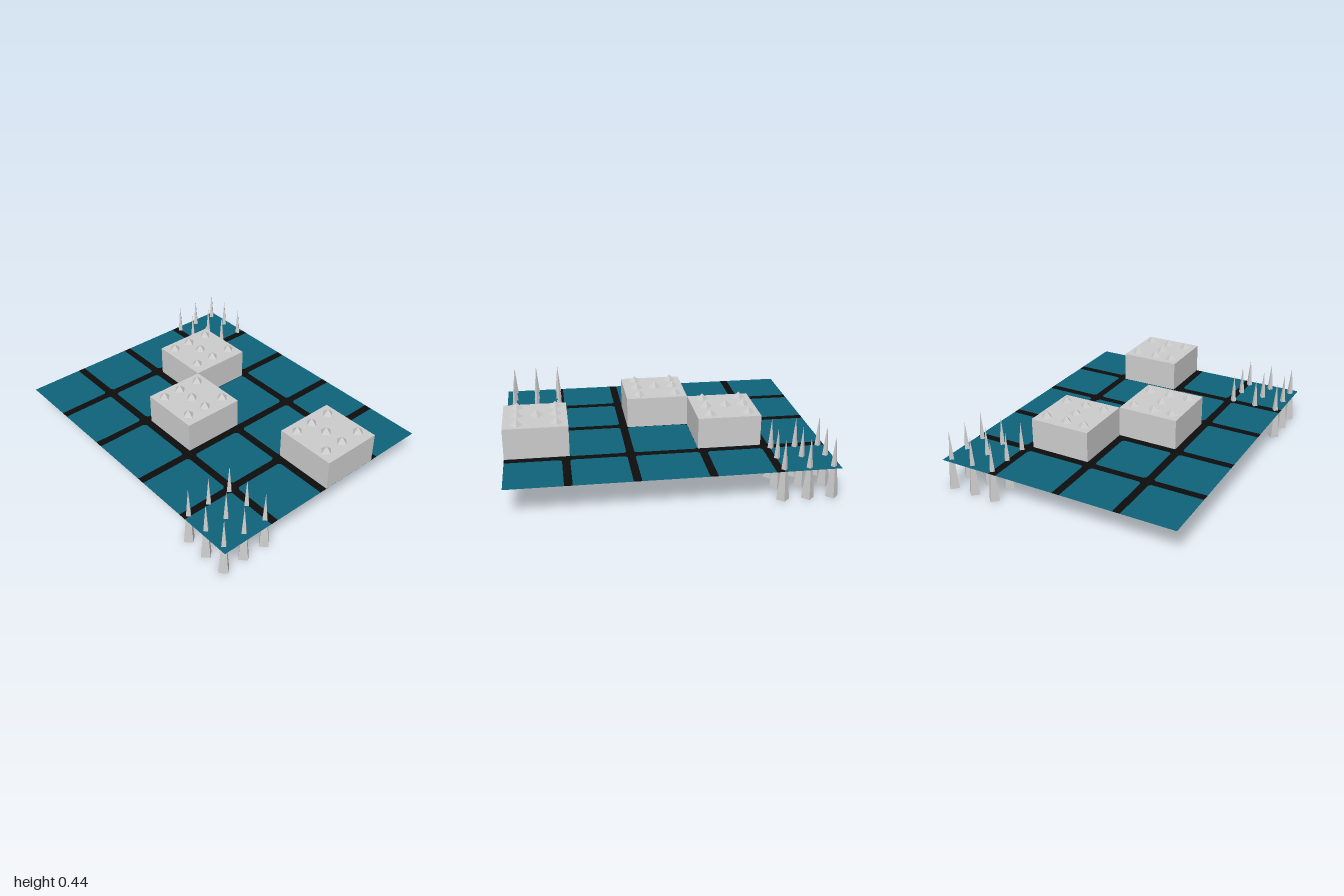
import * as THREE from 'three';

const FLOOR_Y = 0.2;
const CHAMFER = 0.015;

export function createModel() {
  const model = new THREE.Group();
  model.name = 'spikeTrapFloor';

  const teal = new THREE.MeshStandardMaterial({ color: 0x0e627a, side: THREE.DoubleSide });
  teal.name = 'teal tile';
  const black = new THREE.MeshStandardMaterial({ color: 0x0d0d0d, side: THREE.DoubleSide });
  black.name = 'black grout';
  const grey = new THREE.MeshStandardMaterial({ color: 0xcccccc, flatShading: true });
  grey.name = 'grey stone';

  const add = (parent, geometry, material, name, x = 0, y = 0, z = 0) => {
    const mesh = new THREE.Mesh(geometry, material);
    mesh.name = name;
    mesh.position.set(x, y, z);
    parent.add(mesh);
    return mesh;
  };
  const group = (name) => {
    const g = new THREE.Group();
    g.name = name;
    model.add(g);
    return g;
  };

  // Flat floor polygon from [x, z] points
  const floor = group('floor');
  const flat = (points, material, name) => {
    const shape = new THREE.Shape(points.map(([x, z]) => new THREE.Vector2(x, -z)));
    add(floor, new THREE.ShapeGeometry(shape).rotateX(-Math.PI / 2), material, name, 0, FLOOR_Y, 0);
  };
  const rect = (x0, x1, z0, z1, material, name) =>
    flat([[x0, z0], [x0, z1], [x1, z1], [x1, z0]], material, name);

  const cols = [[-0.8, -0.45], [-0.4, -0.05], [0, 0.4], [0.45, 0.8]];
  const rows = [[-1, -0.65], [-0.6, -0.25], [-0.2, 0.2], [0.25, 0.6], [0.65, 1]];

  // Tiles with small chamfers where the grout lines cross
  for (const [x0, x1] of cols) {
    for (const [z0, z1] of rows) {
      const outline = [];
      for (const [x, z, first] of [[x0, z0, 'x'], [x0, z1, 'z'], [x1, z1, 'x'], [x1, z0, 'z']]) {
        if (Math.abs(x) === 0.8 || Math.abs(z) === 1) {
          outline.push([x, z]);
          continue;
        }
        const alongX = [x + (x === x0 ? CHAMFER : -CHAMFER), z];
        const alongZ = [x, z + (z === z0 ? CHAMFER : -CHAMFER)];
        outline.push(...(first === 'x' ? [alongX, alongZ] : [alongZ, alongX]));
        flat([[x, z], alongX, alongZ], black, 'groutCorner');
      }
      flat(outline, teal, 'tile');
    }
  }

  // Grout: full-length lines along z, short pieces between them along x
  for (let i = 0; i < cols.length - 1; i++) {
    rect(cols[i][1], cols[i + 1][0], -1, 1, black, 'groutLong');
  }
  for (let j = 0; j < rows.length - 1; j++) {
    for (const [x0, x1] of cols) {
      rect(x0, x1, rows[j][1], rows[j + 1][0], black, 'groutCross');
    }
  }

  // Raised blocks, each with seven small pyramid studs
  const blockGeometry = new THREE.BoxGeometry(0.4, 0.199, 0.4);
  const studGeometry = new THREE.ConeGeometry(0.04, 0.04, 4, 1, true);
  const studs = [
    [-0.135, -0.13], [-0.01, -0.13], [0.135, -0.13], [-0.005, -0.012],
    [-0.135, 0.113], [0, 0.113], [0.143, 0.113],
  ];
  for (const [x, z] of [[0.2, -0.4], [-0.2, 0], [0.2, 0.8]]) {
    const block = group('studdedBlock');
    block.position.set(x, 0, z);
    add(block, blockGeometry, grey, 'block', 0, 0.3005, 0);
    for (const [sx, sz] of studs) add(block, studGeometry, grey, 'stud', sx, 0.42, sz);
  }

  // Tall spikes passing through two corner tiles
  const spikeGeometry = new THREE.ConeGeometry(0.04, 0.395, 4);
  const patches = [
    { xs: [-0.76, -0.61, -0.45], zs: [0.635, 0.79, 0.945] },
    { xs: [0.45, 0.6, 0.76], zs: [-0.96, -0.81, -0.655] },
  ];
  for (const { xs, zs } of patches) {
    const patch = group('spikePatch');
    for (const x of xs) {
      for (const z of zs) add(patch, spikeGeometry, grey, 'spike', x, 0.1975, z);
    }
  }

  return model;
}
